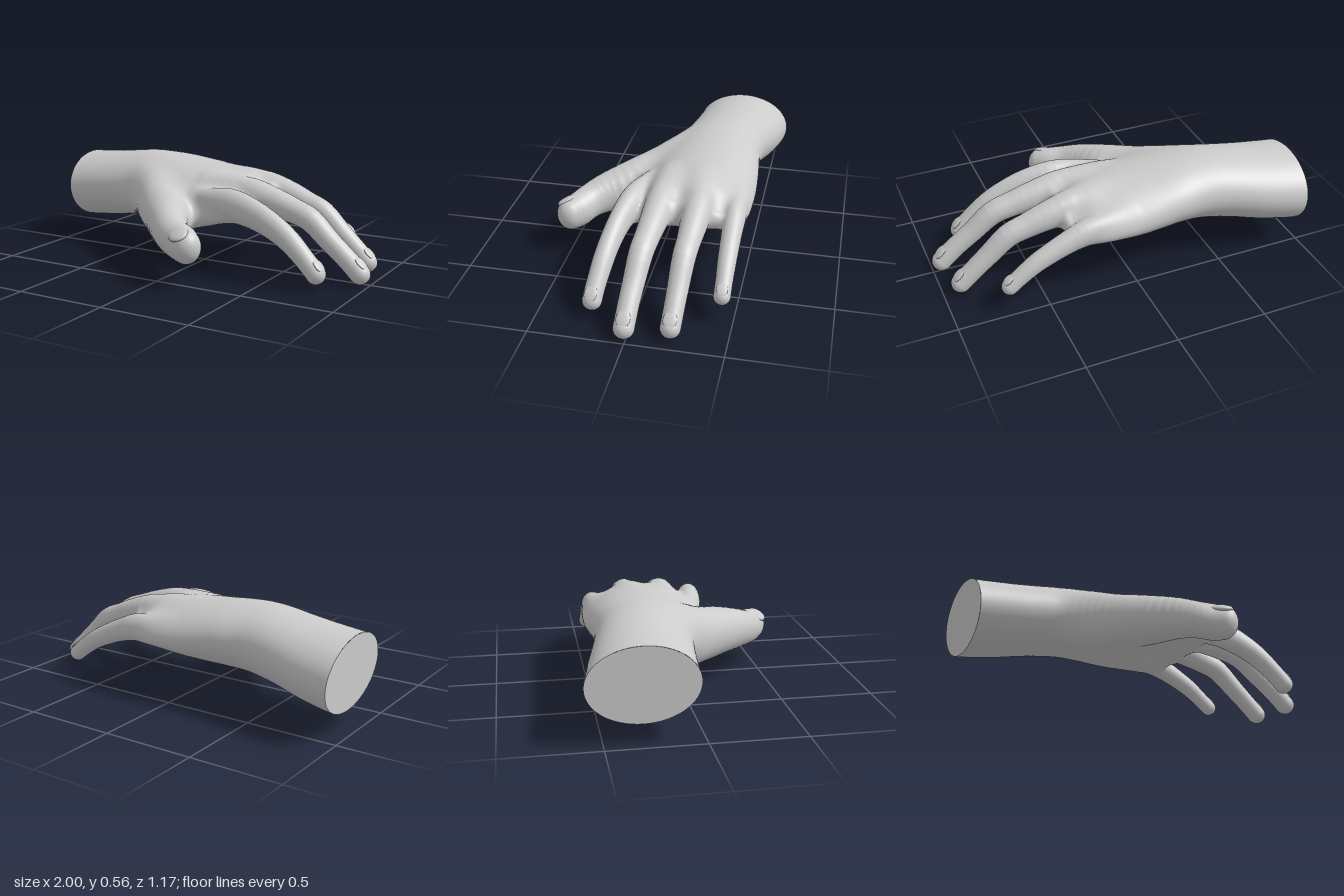
import * as THREE from 'three';

const material = new THREE.MeshStandardMaterial({ color: 0xcccccc, roughness: 0.8 });
const UP = new THREE.Vector3(0, 1, 0);

// Forearm to palm, evenly spaced in x: centre y, centre z, half width, half height, slope, arch
const PALM_START = -1, PALM_END = 0.32;
const PALM = [
  [0.310, -0.310, 0.280, 0.200, 0.00, 0.00], [0.320, -0.297, 0.274, 0.199, 0.00, 0.00],
  [0.333, -0.280, 0.268, 0.197, -0.01, 0.00], [0.350, -0.260, 0.260, 0.195, -0.03, 0.00],
  [0.365, -0.238, 0.258, 0.194, -0.05, 0.00], [0.370, -0.212, 0.272, 0.190, -0.08, 0.05],
  [0.365, -0.192, 0.302, 0.186, -0.11, 0.10], [0.360, -0.178, 0.325, 0.178, -0.12, 0.25],
  [0.363, -0.168, 0.340, 0.164, -0.11, 0.40], [0.373, -0.163, 0.342, 0.140, -0.08, 0.50],
  [0.383, -0.160, 0.325, 0.112, -0.05, 0.60], [0.370, -0.150, 0.265, 0.072, -0.04, 0.60],
];
// Digit sections from hand to tip: x, y, z, half width, half height
const DIGITS = {
  indexFinger: [
    [0.02, 0.375, 0.080, 0.060, 0.060], [0.14, 0.372, 0.112, 0.068, 0.080],
    [0.26, 0.368, 0.133, 0.069, 0.090], [0.40, 0.340, 0.160, 0.060, 0.080],
    [0.52, 0.293, 0.180, 0.056, 0.070], [0.62, 0.235, 0.195, 0.055, 0.062],
    [0.72, 0.150, 0.210, 0.052, 0.054], [0.785, 0.085, 0.218, 0.052, 0.053]],
  middleFinger: [
    [0.02, 0.430, -0.045, 0.070, 0.060], [0.14, 0.420, -0.042, 0.080, 0.080],
    [0.28, 0.405, -0.037, 0.084, 0.090], [0.42, 0.378, -0.028, 0.075, 0.080],
    [0.54, 0.347, -0.018, 0.067, 0.069], [0.65, 0.308, -0.008, 0.064, 0.064],
    [0.76, 0.215, 0.002, 0.058, 0.058], [0.86, 0.135, 0.009, 0.055, 0.055],
    [0.945, 0.058, 0.013, 0.055, 0.055]],
  ringFinger: [
    [0.02, 0.440, -0.230, 0.070, 0.060], [0.14, 0.428, -0.235, 0.080, 0.080],
    [0.28, 0.410, -0.240, 0.082, 0.090], [0.42, 0.378, -0.238, 0.073, 0.079],
    [0.53, 0.342, -0.233, 0.064, 0.068], [0.63, 0.303, -0.227, 0.061, 0.063],
    [0.74, 0.205, -0.221, 0.056, 0.057], [0.83, 0.125, -0.217, 0.053, 0.054],
    [0.90, 0.060, -0.213, 0.053, 0.054]],
  littleFinger: [
    [0.02, 0.385, -0.405, 0.060, 0.060], [0.14, 0.378, -0.422, 0.066, 0.070],
    [0.26, 0.362, -0.430, 0.063, 0.074], [0.36, 0.332, -0.433, 0.056, 0.064],
    [0.46, 0.290, -0.434, 0.052, 0.057], [0.55, 0.245, -0.435, 0.049, 0.052],
    [0.63, 0.190, -0.436, 0.045, 0.047], [0.695, 0.140, -0.436, 0.045, 0.046]],
  thumb: [
    [-0.45, 0.340, -0.090, 0.080, 0.130], [-0.34, 0.318, 0.000, 0.110, 0.155],
    [-0.23, 0.300, 0.095, 0.130, 0.150], [-0.12, 0.283, 0.208, 0.130, 0.138],
    [-0.02, 0.260, 0.345, 0.102, 0.115], [0.06, 0.238, 0.425, 0.090, 0.100],
    [0.14, 0.222, 0.470, 0.085, 0.100], [0.185, 0.215, 0.503, 0.077, 0.092]],
};

// Smoothly interpolates the columns of a table of sections, t from 0 to 1.
function sample(rows, t) {
  const f = t * (rows.length - 1);
  const i = Math.min(Math.floor(f), rows.length - 2);
  const u = f - i;
  const row = k => rows[Math.max(0, Math.min(rows.length - 1, k))];
  return rows[0].map((_, c) => {
    const [a, b, d, e] = [row(i - 1)[c], row(i)[c], row(i + 1)[c], row(i + 2)[c]];
    return b + 0.5 * u * (d - a + u * (2 * a - 5 * b + 4 * d - e + u * (3 * (b - d) + e - a)));
  });
}

// Centre, axes and half sizes of a digit at t.
function frameAt(rows, t) {
  const at = s => new THREE.Vector3(...sample(rows, s));
  const [, , , width, height] = sample(rows, t);
  const along = at(Math.min(1, t + 0.02)).sub(at(Math.max(0, t - 0.02))).normalize();
  const side = along.clone().cross(UP).normalize();
  return { centre: at(t), along, side, up: side.clone().cross(along), width, height };
}

// Radial distance to an oval with offsets a, b, c and radii ra, rb, rc.
function ovalDistance(a, b, c, ra, rb, rc) {
  const k = Math.hypot(a / ra, b / rb, c / rc) + 1e-6;
  return Math.hypot(a, b, c) * (1 - 1 / k);
}

function palmDistance(p) {
  const t = (p.x - PALM_START) / (PALM_END - PALM_START);
  const [y, z, w, h, slope, arch] = sample(PALM, Math.max(0, Math.min(1, t)));
  const dz = p.z - z;
  const dy = p.y - y - slope * dz + arch * dz * dz;
  return ovalDistance(dz, dy, Math.max(0, p.x - PALM_END), w, h, 0.05);
}

// Distance function of a digit, swept along its sections with rounded ends.
function digitDistance(rows) {
  const frames = Array.from({ length: 25 }, (_, i) => frameAt(rows, i / 24));
  const box = new THREE.Box3().setFromPoints(frames.map(f => f.centre)).expandByScalar(0.26);
  const q = new THREE.Vector3(), step = new THREE.Vector3();
  return p => {
    if (!box.containsPoint(p)) return 0.1;
    let best = Infinity;
    for (let i = 0; i < frames.length - 1; i++) {
      const f = frames[i], g = frames[i + 1];
      step.subVectors(g.centre, f.centre);
      q.subVectors(p, f.centre);
      const u = Math.max(0, Math.min(1, q.dot(step) / step.lengthSq()));
      q.addScaledVector(step, -u);
      const mix = (a, b) => a + (b - a) * u;
      const w = mix(f.width, g.width), h = mix(f.height, g.height);
      const side = mix(q.dot(f.side), q.dot(g.side));
      const up = mix(q.dot(f.up), q.dot(g.up));
      const along = mix(q.dot(f.along), q.dot(g.along));
      best = Math.min(best, ovalDistance(side, up, along, w, h, w));
    }
    return best;
  };
}

// The palm and all digits, melted together where they meet.
const digitFields = Object.entries(DIGITS).map(([name, rows]) =>
  ({ distance: digitDistance(rows), blend: name === 'thumb' ? 0.08 : 0.05 }));
function handDistance(p) {
  let d = palmDistance(p);
  for (const { distance, blend } of digitFields) {
    const e = distance(p);
    const m = Math.max(0, blend - Math.abs(d - e)) / blend;
    d = Math.min(d, e) - m * m * blend / 4;
  }
  return d;
}

function gradient(field, p) {
  const e = 0.004, q = p.clone();
  const slope = axis => {
    q.copy(p)[axis] += e;
    const ahead = field(q);
    q[axis] -= 2 * e;
    return (ahead - field(q)) / (2 * e);
  };
  return new THREE.Vector3(slope('x'), slope('y'), slope('z'));
}

// Wraps a smooth quad mesh around a field; the surface is left open at the low x side.
function wrap(field, min, max, cell) {
  const n = ['x', 'y', 'z'].map(a => Math.ceil((max[a] - min[a]) / cell) + 1);
  const stride = [1, n[0], n[0] * n[1]];
  const total = n[0] * n[1] * n[2];
  const value = new Float32Array(total), vertex = new Int32Array(total).fill(-1);
  const coords = i => [i % n[0], Math.floor(i / n[0]) % n[1], Math.floor(i / stride[2])];
  const point = i => new THREE.Vector3(...coords(i)).multiplyScalar(cell).add(min);
  for (let i = 0; i < total; i++) value[i] = field(point(i));

  // one vertex in every cell the surface passes through
  const pos = [], normals = [], index = [];
  const corner = c => (c & 1) * stride[0] + (c >> 1 & 1) * stride[1] + (c >> 2) * stride[2];
  for (let i = 0; i < total; i++) {
    const at = coords(i);
    if (at.some((c, a) => c === n[a] - 1)) continue;
    const p = new THREE.Vector3();
    let hits = 0;
    for (let c = 0; c < 8; c++) for (const bit of [1, 2, 4]) {
      const a = i + corner(c), b = i + corner(c | bit);
      if (c & bit || value[a] < 0 === value[b] < 0) continue;
      p.add(point(a).lerp(point(b), value[a] / (value[a] - value[b])));
      hits++;
    }
    if (!hits) continue;
    p.divideScalar(hits);
    for (let k = 0; k < 2; k++) {
      const g = gradient(field, p);
      p.addScaledVector(g, -field(p) / Math.max(0.25, g.lengthSq()));
    }
    const normal = gradient(field, p).normalize();
    if (at[0] === 0) p.x = min.x;
    vertex[i] = pos.length / 3;
    pos.push(p.x, p.y, p.z);
    normals.push(normal.x, normal.y, normal.z);
  }
  // one quad across every grid edge the surface crosses
  for (let i = 0; i < total; i++) {
    const at = coords(i);
    for (let a = 0; a < 3; a++) {
      const u = (a + 1) % 3, v = (a + 2) % 3;
      if (at[a] === n[a] - 1 || !at[u] || !at[v]) continue;
      const inside = value[i] < 0;
      if (inside === value[i + stride[a]] < 0) continue;
      const quad = [i, i - stride[u], i - stride[u] - stride[v], i - stride[v]].map(c => vertex[c]);
      if (!inside) quad.reverse();
      index.push(quad[0], quad[1], quad[2], quad[0], quad[2], quad[3]);
    }
  }
  const geometry = new THREE.BufferGeometry();
  geometry.setAttribute('position', new THREE.Float32BufferAttribute(pos, 3));
  geometry.setAttribute('normal', new THREE.Float32BufferAttribute(normals, 3));
  return geometry.setIndex(index);
}

// Leans the cut end of the forearm.
function lean(geometry) {
  const p = geometry.attributes.position;
  for (let i = 0; i < p.count; i++) {
    const amount = Math.max(0, Math.min(1, (-0.6 - p.getX(i)) / 0.4));
    p.setX(i, p.getX(i) + amount * (0.51 - p.getY(i)) * 0.1);
  }
  return geometry;
}

function part(name, geometry) {
  const mesh = new THREE.Mesh(geometry, material);
  mesh.name = name;
  return mesh;
}

// A shallow nail set into the back of a digit.
function nail(name, rows, t, roll) {
  const f = frameAt(rows, t);
  const out = f.up.clone().multiplyScalar(Math.cos(roll) * f.height)
    .addScaledVector(f.side, Math.sin(roll) * f.width);
  const normal = out.clone().normalize();
  const mesh = part(name + 'Nail', new THREE.SphereGeometry(1, 24, 12));
  mesh.scale.set(f.width * 0.85, f.height * 0.2, f.width * 0.68);
  mesh.position.copy(f.centre).addScaledVector(out, 0.86);
  mesh.quaternion.setFromRotationMatrix(
    new THREE.Matrix4().makeBasis(f.along, normal, f.along.clone().cross(normal)));
  return mesh;
}

export function createModel() {
  const hand = new THREE.Group();
  hand.name = 'hand';
  const min = new THREE.Vector3(PALM_START, -0.04, -0.64), max = new THREE.Vector3(1.04, 0.63, 0.64);
  hand.add(part('handAndForearm', lean(wrap(handDistance, min, max, 0.0125))));

  const [y, z, width, height] = PALM[0];
  const cut = new THREE.CircleGeometry(1, 64).scale(width, height, 1)
    .rotateY(-Math.PI / 2).translate(PALM_START, y, z);
  hand.add(part('forearmCut', lean(cut)));

  for (const [name, rows] of Object.entries(DIGITS)) {
    hand.add(name === 'thumb' ? nail(name, rows, 0.93, 0.6) : nail(name, rows, 0.95, 0));
  }
  return hand;
}
